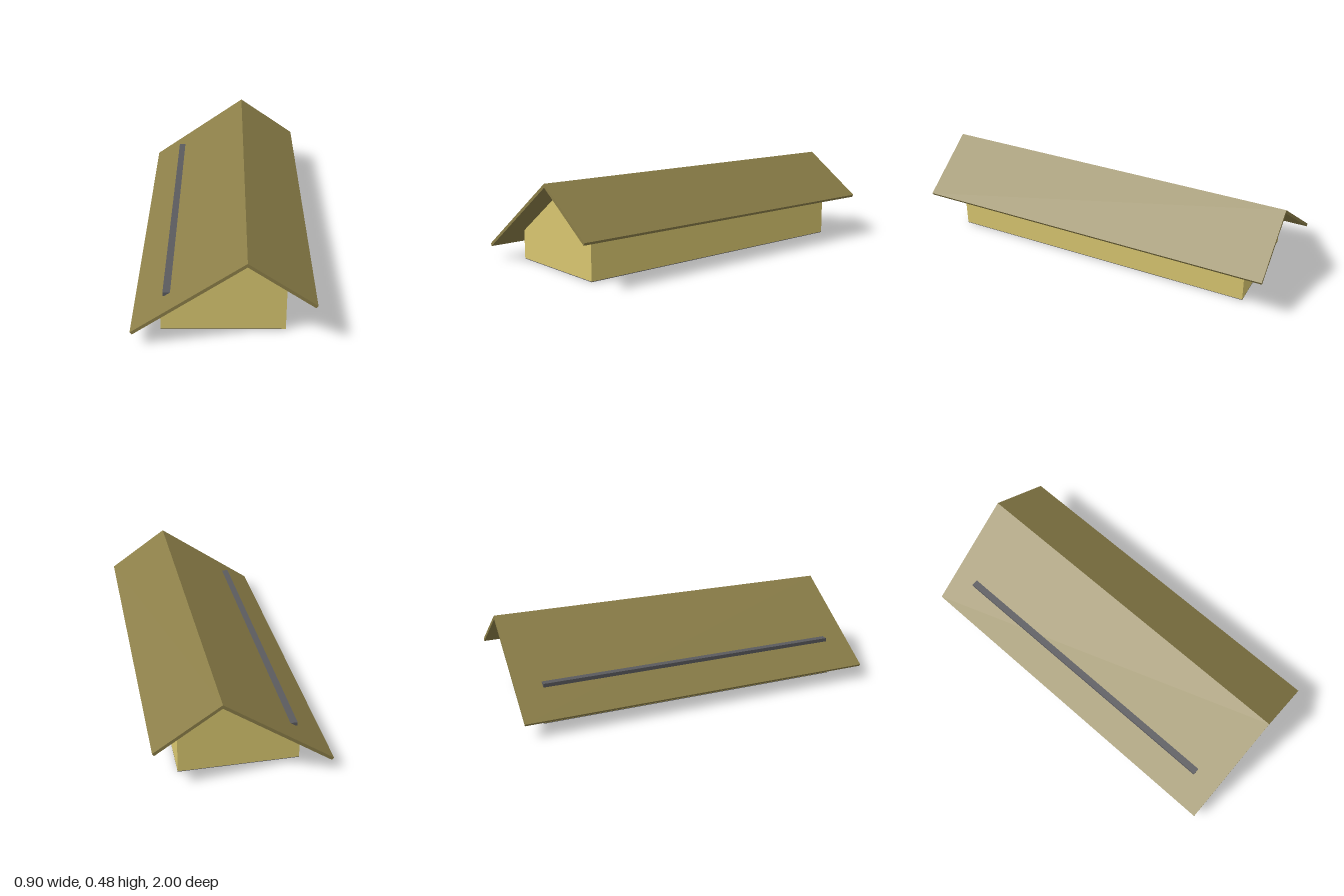
import * as THREE from 'three';

const mat = (color) => new THREE.MeshStandardMaterial({ color, flatShading: true });

// Extrudes an (x, y) outline along z, centred on z = 0
function prism(name, points, length, material) {
  const shape = new THREE.Shape(points.map(([x, y]) => new THREE.Vector2(x, y)));
  const geometry = new THREE.ExtrudeGeometry(shape, { depth: length, bevelEnabled: false });
  geometry.translate(0, 0, -length / 2);
  const mesh = new THREE.Mesh(geometry, material);
  mesh.name = name;
  return mesh;
}

function box(name, [x0, x1], [y0, y1], length, material) {
  const mesh = new THREE.Mesh(new THREE.BoxGeometry(x1 - x0, y1 - y0, length), material);
  mesh.position.set((x0 + x1) / 2, (y0 + y1) / 2, 0);
  mesh.name = name;
  return mesh;
}

export function createModel() {
  const group = new THREE.Group();
  group.name = 'building';
  const wall = mat(0xd9c770);
  const roof = mat(0x8b7e48);
  const grey = mat(0x5a5a5e);
  const floorTop = 0.003;

  // Walls with an off-centre gable
  group.add(prism('walls', [
    [-0.315, floorTop], [0.313, floorTop], [0.313, 0.316], [0.113, 0.457], [-0.315, 0.157],
  ], 1.74, wall));

  // Dark floor slab
  group.add(box('floor', [-0.315, 0.313], [0, floorTop], 1.74, grey));

  // Two overhanging roof slopes meeting at the ridge
  group.add(prism('longRoofSlope', [
    [-0.444, 0.067], [0.113, 0.457], [0.113, 0.477], [-0.454, 0.08],
  ], 2, roof));
  group.add(prism('shortRoofSlope', [
    [0.113, 0.457], [0.442, 0.226], [0.451, 0.24], [0.113, 0.477],
  ], 2, roof));

  // Snow guard bar along the long slope
  group.add(box('snowGuard', [-0.3, -0.262], [0.194, 0.214], 1.715, grey));

  return group;
}
